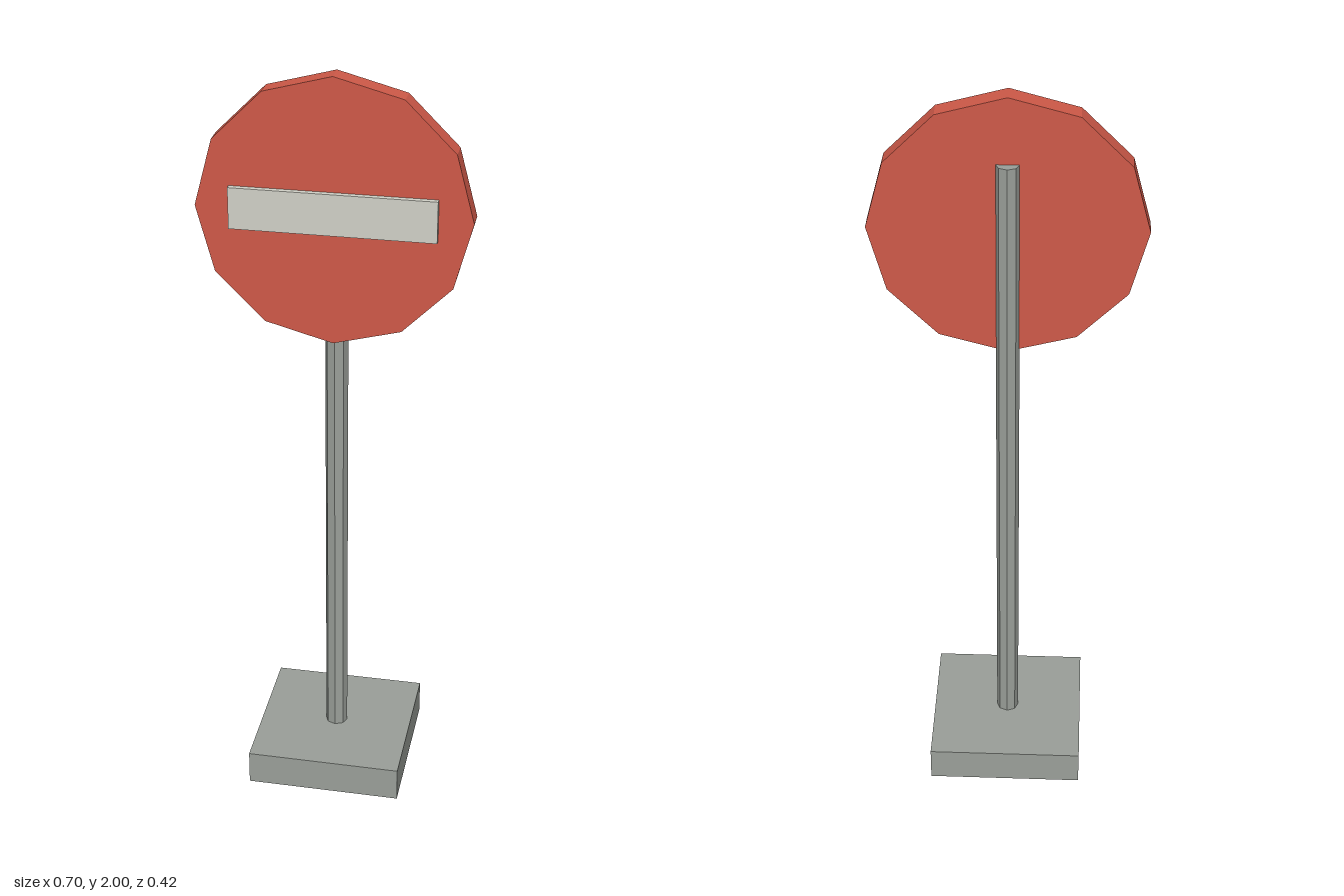
import * as THREE from 'three';

const material = (name, color) => {
  const m = new THREE.MeshStandardMaterial({ color });
  m.name = name;
  return m;
};

export function createModel() {
  const model = new THREE.Group();
  model.name = 'roadSign';

  const grey = material('grey', 0x9ba09a);
  const red = material('red', 0xd05a49);
  const offWhite = material('offWhite', 0xd2d2c8);

  const add = (name, geometry, mat, x, y, z) => {
    const flat = geometry.toNonIndexed();
    flat.computeVertexNormals(); // faceted low-poly look
    const mesh = new THREE.Mesh(flat, mat);
    mesh.name = name;
    mesh.position.set(x, y, z);
    model.add(mesh);
  };

  // Square foot
  add('base', new THREE.BoxGeometry(0.417, 0.095, 0.417), grey, 0, 0.0475, 0);

  // Eight-sided post, ending behind the disc
  add('post', new THREE.CylinderGeometry(0.03, 0.03, 1.732, 8), grey, 0, 0.961, 0);

  // Twelve-sided disc facing the front
  const disc = new THREE.CylinderGeometry(0.348, 0.348, 0.055, 12).rotateX(Math.PI / 2);
  add('disc', disc, red, 0, 1.652, 0.0245);

  // Raised horizontal bar
  add('bar', new THREE.BoxGeometry(0.521, 0.108, 0.028), offWhite, 0, 1.655, 0.053);

  return model;
}
